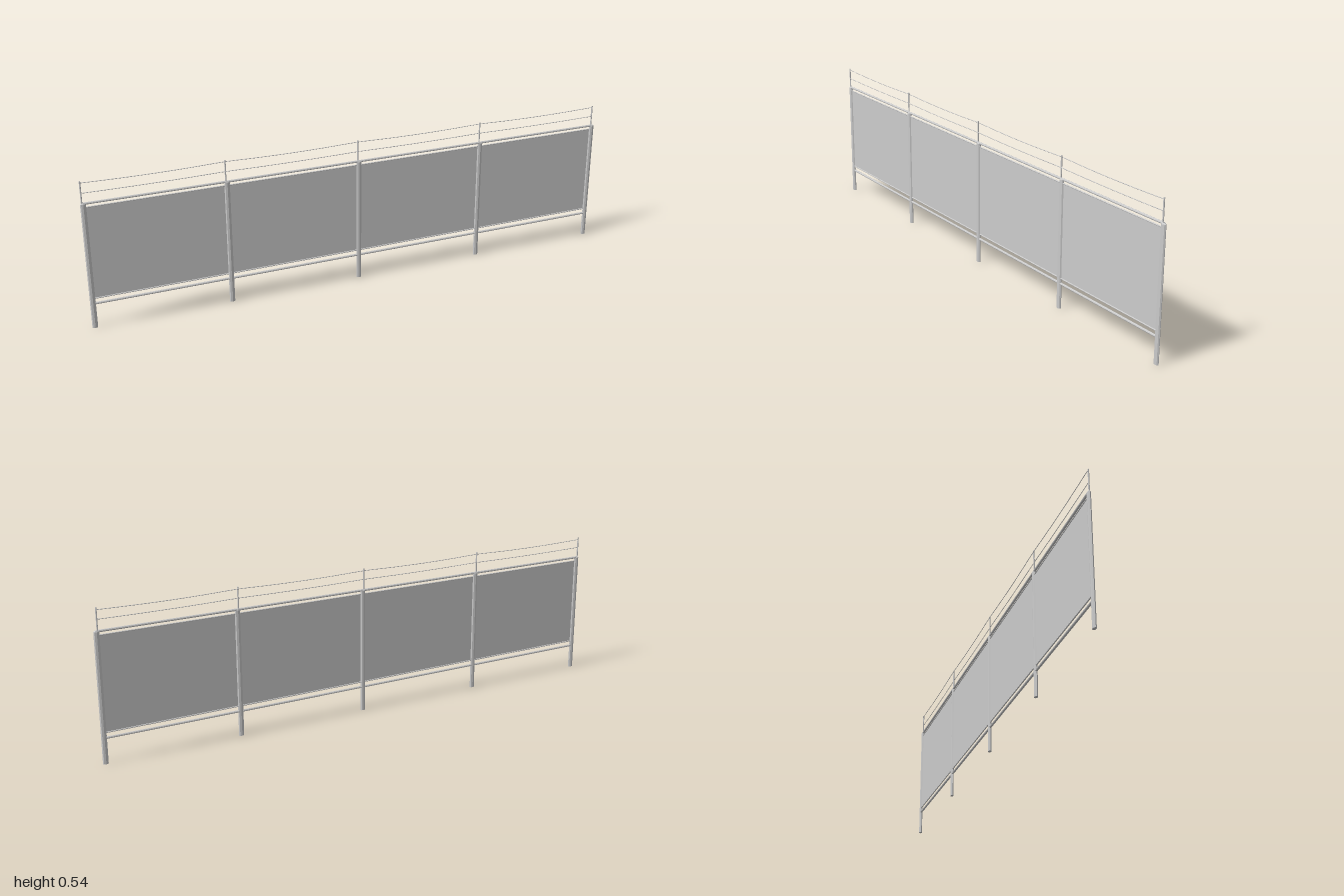
import * as THREE from 'three';

const metal = new THREE.MeshStandardMaterial({ color: 0xcccccc, flatShading: true });
const sheet = new THREE.MeshStandardMaterial({ color: 0xcccccc, side: THREE.DoubleSide });

const SPANS = 4;
const STEP = 0.495;
const postX = (i) => (i - SPANS / 2) * STEP;

export function createModel() {
  const group = new THREE.Group();

  const add = (name, geometry, x, y, z, material = metal) => {
    const mesh = new THREE.Mesh(geometry, material);
    mesh.name = name;
    mesh.position.set(x, y, z);
    group.add(mesh);
    return mesh;
  };

  // Posts with a softly bevelled top, each carrying a slim wire holder
  const postProfile = [[0, 0], [0.0062, 0], [0.0062, 0.461], [0.004, 0.465], [0, 0.465]]
    .map(([r, y]) => new THREE.Vector2(r, y));
  const postGeometry = new THREE.LatheGeometry(postProfile, 8).scale(1.6, 1, 1);
  const holderGeometry = new THREE.CylinderGeometry(0.0027, 0.0027, 0.083, 8);
  for (let i = 0; i <= SPANS; i++) {
    add('post', postGeometry, postX(i), 0, 0);
    add('wireHolder', holderGeometry, postX(i) - 0.004, 0.5015, 0);
  }

  // Horizontal tubes: outer rails and the thin rods that edge the panels
  const rails = [
    ['topRail', 0.463, 0.0045],
    ['panelTopRod', 0.449, 0.0025],
    ['panelBottomRod', 0.111, 0.0025],
    ['bottomRail', 0.092, 0.0045],
  ];
  for (const [name, y, radius] of rails) {
    const geometry = new THREE.CylinderGeometry(radius, radius, STEP, 8).rotateZ(Math.PI / 2);
    for (let i = 0; i < SPANS; i++) add(name, geometry, postX(i + 0.5), y, 0);
  }

  // Flat infill panels
  const panelGeometry = new THREE.PlaneGeometry(STEP - 0.012, 0.338);
  for (let i = 0; i < SPANS; i++) add('panel', panelGeometry, postX(i + 0.5), 0.28, 0, sheet);

  // Two slightly slack wires strung between the holders
  const wire = (name, y, z, sag) => {
    const points = [];
    for (let k = 0; k <= SPANS * 4; k++) {
      const drop = sag * Math.sin((k / 4 % 1) * Math.PI);
      points.push(new THREE.Vector3(postX(k / 4) - 0.004, y - drop, z));
    }
    const curve = new THREE.CatmullRomCurve3(points);
    add(name, new THREE.TubeGeometry(curve, SPANS * 12, 0.0013, 6), 0, 0, 0);
  };
  wire('upperWire', 0.536, -0.003, 0.004);
  wire('lowerWire', 0.502, 0.003, 0.002);

  return group;
}
